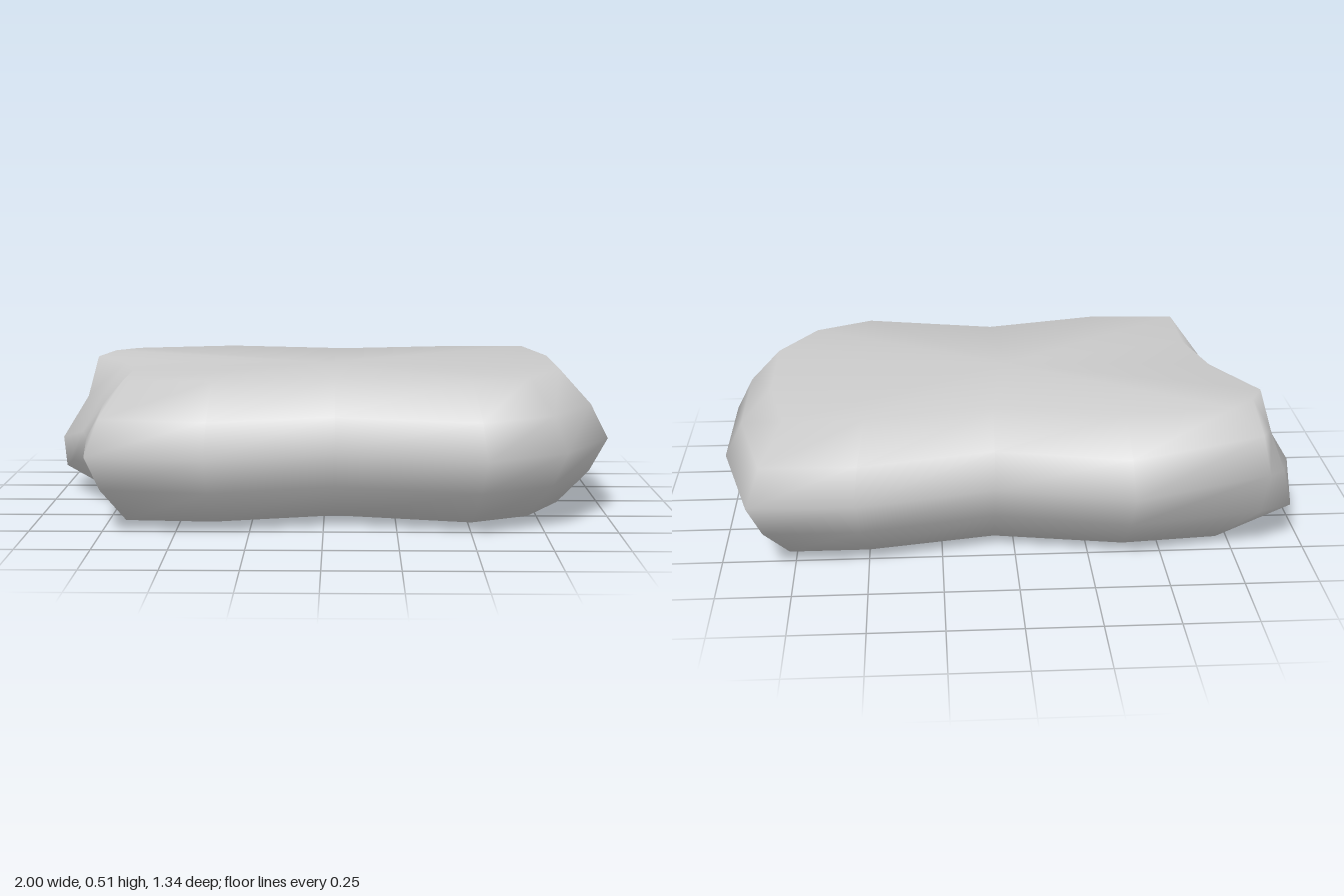
import * as THREE from 'three';

// Regular column of the rim: widest point (x, z) bevelled towards the flat-face edge (ix, iz)
function bevel(x, z, ix, iz) {
  const levels = [[1, 0.24], [0.36, 0.12], [0, 0], [0.36, -0.12], [1, -0.24]];
  return levels.map(([t, dy]) => [x + (ix - x) * t, 0.275 + dy, z + (iz - z) * t]);
}

export function createModel() {
  // Columns run counterclockwise seen from above; each lists points from top to bottom
  const columns = [
    bevel(-0.79, 0.60, -0.67, 0.48),
    bevel(-0.39, 0.67, -0.37, 0.50),
    bevel(0.04, 0.55, 0.04, 0.40),
    bevel(0.54, 0.67, 0.50, 0.50),
    bevel(0.82, 0.51, 0.70, 0.40),
    bevel(1.00, 0.22, 0.83, 0.18),
    bevel(1.00, -0.22, 0.83, -0.20),
    bevel(0.89, -0.66, 0.77, -0.50),
    bevel(0.54, -0.67, 0.50, -0.50),
    bevel(0.07, -0.56, 0.07, -0.42),
    bevel(-0.39, -0.67, -0.37, -0.50),
    // dented side with a low protruding lip
    [[-0.74, 0.51, -0.46], [-0.83, 0.44, -0.54], [-0.86, 0.30, -0.55], [-0.84, 0.15, -0.52], [-0.70, 0.03, -0.46]],
    [[-0.82, 0.51, -0.38], [-0.88, 0.41, -0.42], [-0.93, 0.27, -0.45], [-0.96, 0.14, -0.45], [-0.78, 0.02, -0.34]],
    [[-0.87, 0.50, -0.27], [-0.91, 0.35, -0.25], [-1.00, 0.20, -0.20], [-0.99, 0.09, -0.20], [-0.79, 0.00, -0.12]],
    [[-0.73, 0.51, -0.04], [-0.82, 0.39, -0.04], [-0.90, 0.25, -0.04], [-0.94, 0.14, -0.05], [-0.74, 0.015, 0.00]],
    bevel(-0.84, 0.24, -0.67, 0.20),
  ];
  const n = columns.length;
  const rows = 5;
  const points = [...columns.flat(), [0, 0.515, 0], [0, 0.035, 0]];
  const top = n * rows;
  const bottom = top + 1;

  const index = [];
  for (let i = 0; i < n; i++) {
    const a = i * rows;
    const b = ((i + 1) % n) * rows;
    // rounded rim
    for (let r = 0; r < rows - 1; r++) {
      index.push(a + r, a + r + 1, b + r, b + r, a + r + 1, b + r + 1);
    }
    // flat top and bottom
    index.push(top, a, b, bottom, b + rows - 1, a + rows - 1);
  }

  const geometry = new THREE.BufferGeometry();
  geometry.setAttribute('position', new THREE.Float32BufferAttribute(points.flat(), 3));
  geometry.setIndex(index);
  geometry.computeVertexNormals();

  const stone = new THREE.Mesh(geometry, new THREE.MeshStandardMaterial({ color: 0xcccccc }));
  stone.name = 'stone';
  const group = new THREE.Group();
  group.name = 'flatStone';
  group.add(stone);
  return group;
}
